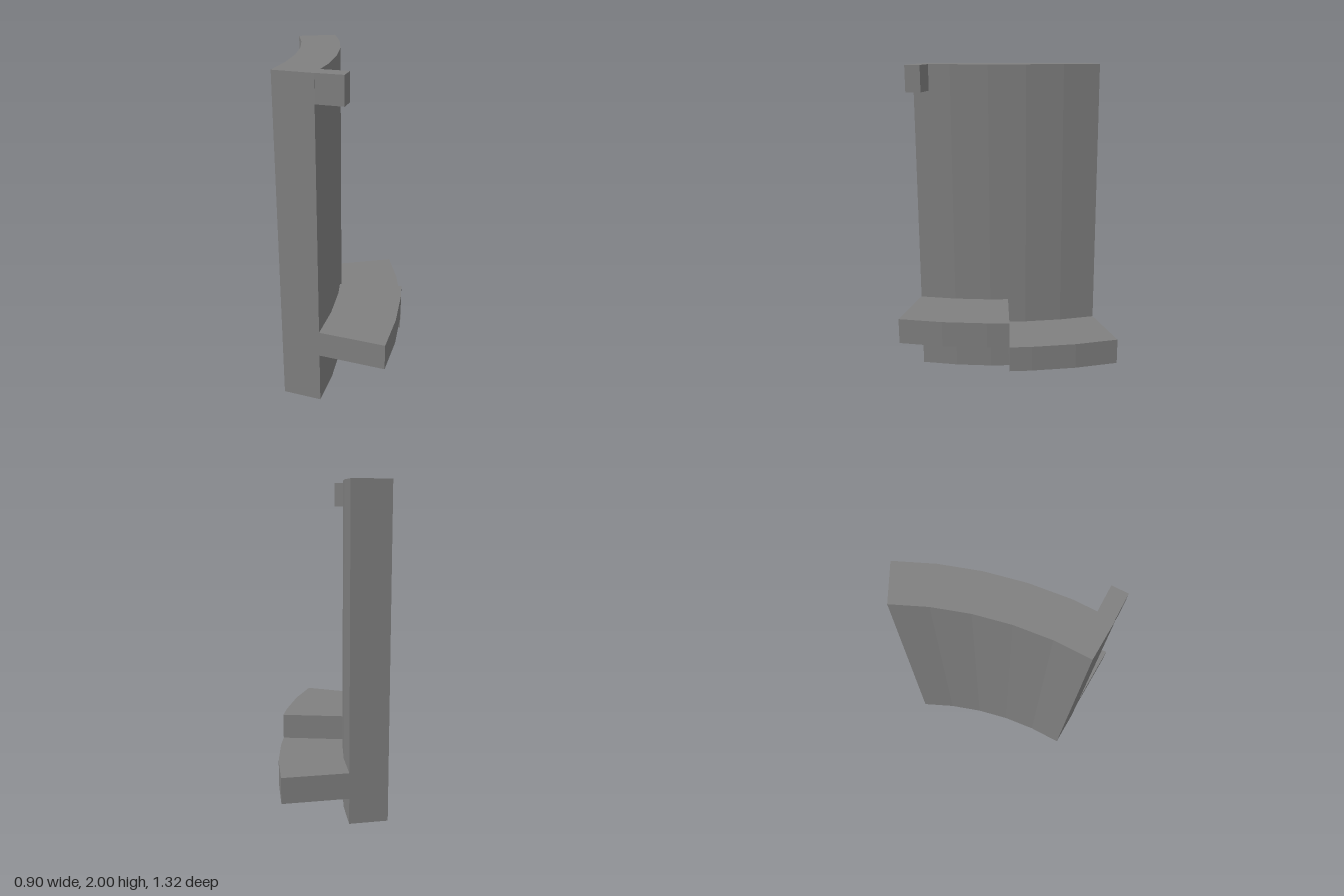
import * as THREE from 'three';

// Arc centre and plan radii
const CX = -2.187, CZ = 0.659;
const INNER = 2.0, OUTER = 2.236, SHELF = 2.637;

// Plan point on a circle, as (x, -z)
function polar(radius, degrees) {
  const a = THREE.MathUtils.degToRad(degrees);
  return new THREE.Vector2(CX + radius * Math.cos(a), -CZ + radius * Math.sin(a));
}

// Upright prism from a plan outline
function prism(name, outline, y0, y1, material) {
  const geometry = new THREE.ExtrudeGeometry(new THREE.Shape(outline), {
    depth: y1 - y0, bevelEnabled: false,
  });
  geometry.rotateX(-Math.PI / 2);
  geometry.translate(0, y0, 0);
  const mesh = new THREE.Mesh(geometry, material);
  mesh.name = name;
  return mesh;
}

// Ring sector outline through the given angles
function sector(r0, r1, angles) {
  return [
    ...angles.map((a) => polar(r1, a)),
    ...[...angles].reverse().map((a) => polar(r0, a)),
  ];
}

export function createModel() {
  const group = new THREE.Group();
  group.name = 'curvedWallSegment';
  const grey = new THREE.MeshStandardMaterial({ color: 0x808080 });
  grey.name = 'grey';

  // Curved wall, thirty degrees in five facets
  group.add(prism('wall', sector(INNER, OUTER, [0, 6, 12, 18, 24, 30]), 0, 2, grey));

  // Two stepped shelves; their inner edge sits just inside the wall
  group.add(prism('upperShelf', sector(OUTER - 0.015, SHELF, [0, 6, 12, 15]), 0.32, 0.48, grey));
  group.add(prism('lowerShelf', sector(OUTER - 0.015, SHELF, [15, 18, 24, 30]), 0.16, 0.32, grey));

  // Small, slightly turned peg at the top front corner
  const peg = [[0.03, 0.657], [0.207, 0.65], [0.203, 0.555], [0.03, 0.562]];
  group.add(prism('topPeg', peg.map(([x, z]) => new THREE.Vector2(x, -z)), 1.84, 2, grey));

  return group;
}
